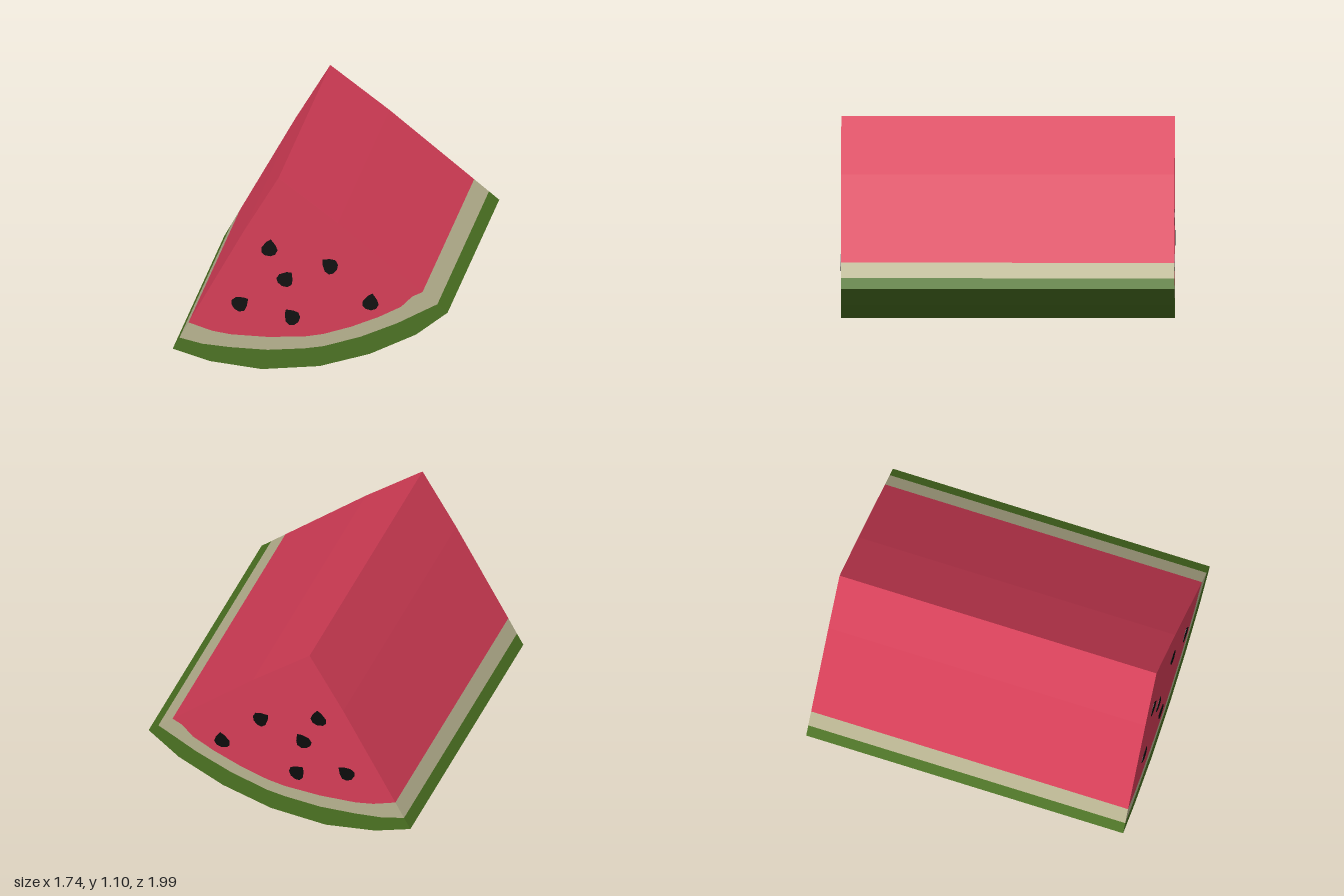
import * as THREE from 'three';

const HALF = 0.897;            // half the length of the slice
const TURN = 0.147;            // slight turn about the vertical axis
const toLocal = ([x, y]) => new THREE.Vector2((x + 0.04) / Math.cos(TURN), y);

const material = (name, color) => {
  const m = new THREE.MeshStandardMaterial({ color });
  m.name = name;
  return m;
};

// Cross-section curves, all running from the left edge to the right edge
const skinLine = [[-0.61, 0.09], [-0.41, 0.03], [-0.13, 0], [0.18, 0.035], [0.45, 0.12], [0.7, 0.245], [0.87, 0.38]];
const rindLine = [[-0.574, 0.155], [-0.45, 0.127], [-0.3, 0.116], [-0.1, 0.112], [0.1, 0.132], [0.2, 0.15],
  [0.4, 0.215], [0.6, 0.305], [0.73, 0.378], [0.815, 0.425]];
const fleshLine = [[-0.525, 0.245], [-0.4, 0.205], [-0.3, 0.19], [-0.1, 0.186], [0.1, 0.2], [0.2, 0.22],
  [0.35, 0.27], [0.5, 0.335], [0.62, 0.4], [0.68, 0.462], [0.735, 0.49]];
const ridgeLine = [[-0.23, 0.78], [-0.04, 1.1], [0.28, 0.86]];

// Layer between a lower and an upper curve, run along the slice
function layer(name, lower, upper, mat) {
  const outline = [...lower, ...[...upper].reverse()].map(toLocal);
  const geo = new THREE.ExtrudeGeometry(new THREE.Shape(outline), { depth: 2 * HALF, bevelEnabled: false });
  geo.translate(0, 0, -HALF);
  const mesh = new THREE.Mesh(geo, mat);
  mesh.name = name;
  return mesh;
}

// Teardrop seed outline with its tip pointing up
const seedShape = new THREE.Shape([[0.008, 0.055], [-0.016, 0.04], [-0.042, 0.008], [-0.043, -0.02], [-0.025, -0.036],
  [0.005, -0.041], [0.032, -0.03], [0.045, -0.005], [0.034, 0.022]].map(([x, y]) => new THREE.Vector2(x, y)));

// x, y and turn of each seed
const seeds = [[-0.09, 0.69, 0], [0.238, 0.61, 1.0], [-0.005, 0.52, -0.55], [-0.25, 0.367, -0.85],
  [0.033, 0.305, 0.8], [0.455, 0.412, -0.05]];

export function createModel() {
  const green = material('skinGreen', 0x4c7222);
  const cream = material('rindCream', 0xb8b390);
  const red = material('fleshRed', 0xd63d57);
  const black = material('seedBlack', 0x0b0b0b);

  const slice = new THREE.Group();
  slice.name = 'melonSlice';
  slice.add(
    layer('skin', skinLine, rindLine, green),
    layer('rind', rindLine, fleshLine, cream),
    layer('flesh', fleshLine, ridgeLine, red),
  );

  // The same seeds show on both cut ends
  const seedGeo = new THREE.ExtrudeGeometry(seedShape, { depth: 0.004, bevelEnabled: false });
  seedGeo.translate(0, 0, -0.002);
  for (const [end, z] of [['front', HALF], ['back', -HALF]]) {
    seeds.forEach(([x, y, turn], i) => {
      const seed = new THREE.Mesh(seedGeo, black);
      const p = toLocal([x, y]);
      seed.name = `${end}Seed${i + 1}`;
      seed.position.set(p.x, p.y, z);
      seed.rotation.z = turn;
      slice.add(seed);
    });
  }

  slice.rotation.y = TURN;
  slice.position.set(-0.17, 0, 0.0225);

  const model = new THREE.Group();
  model.name = 'model';
  model.add(slice);
  return model;
}
